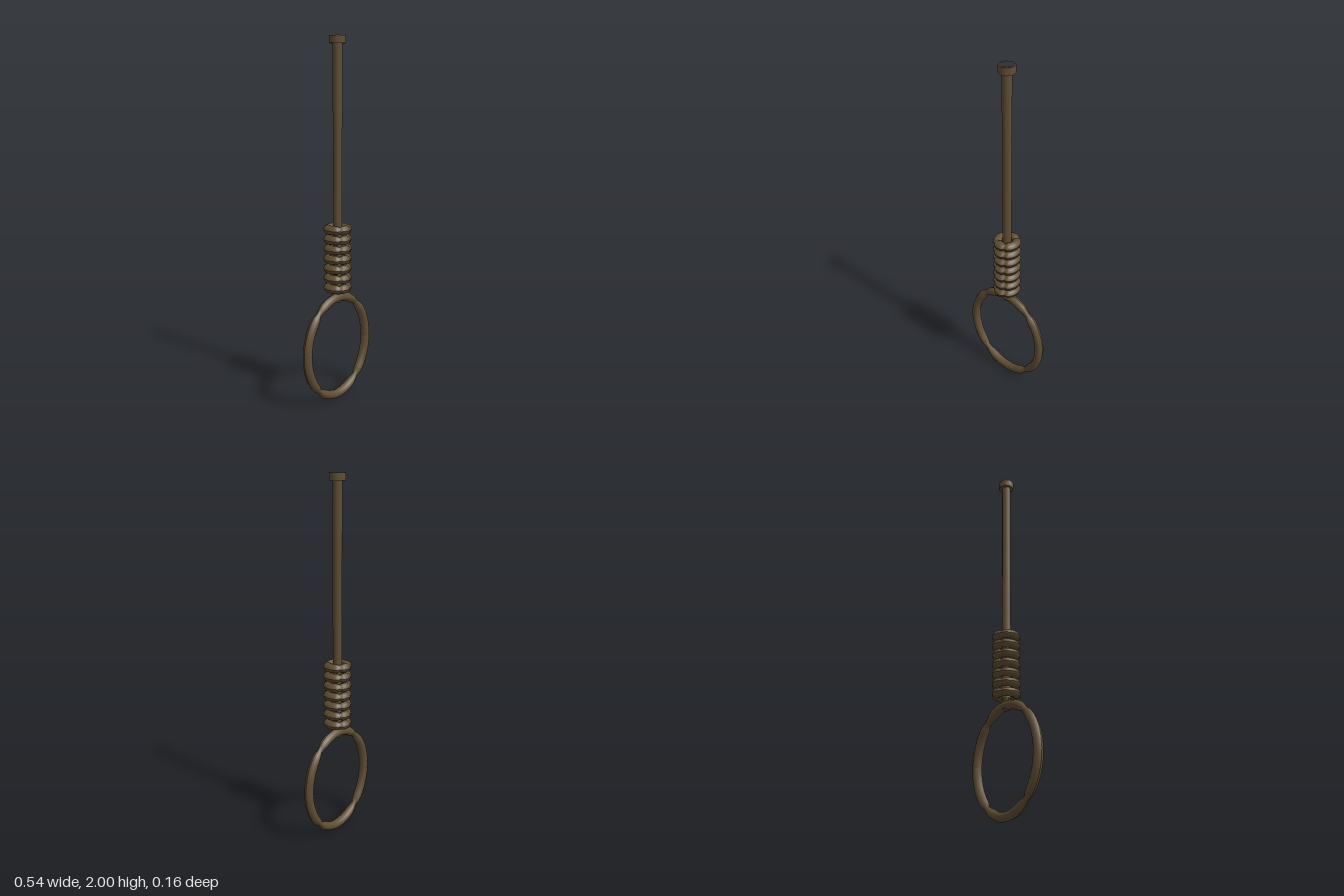
import * as THREE from 'three';

const rope = new THREE.MeshStandardMaterial({ color: 0x5f4e34 });
rope.name = 'brown rope';

// Elliptical rope ring in the XY plane that narrows at the given angles (degrees)
function ropeRing(rx, ry, tube, pinches, squeeze, width, segments) {
  const sides = 8;
  const geo = new THREE.TorusGeometry(1, 0.1, sides, segments);
  const pos = geo.attributes.position;
  for (let j = 0, k = 0; j <= sides; j++) {
    for (let i = 0; i <= segments; i++, k++) {
      const u = (i / segments) * Math.PI * 2;
      const v = (j / sides) * Math.PI * 2;
      let r = tube;
      for (const deg of pinches) {
        const a = THREE.MathUtils.degToRad(deg);
        const d = Math.atan2(Math.sin(u - a), Math.cos(u - a)) / width;
        r *= 1 - squeeze * Math.exp(-d * d);
      }
      // outward direction of the ellipse
      const n = new THREE.Vector2(Math.cos(u) * ry, Math.sin(u) * rx).normalize();
      const out = r * Math.cos(v);
      pos.setXYZ(k, rx * Math.cos(u) + n.x * out, ry * Math.sin(u) + n.y * out, r * Math.sin(v));
    }
  }
  geo.computeVertexNormals();
  return geo;
}

export function createModel() {
  const model = new THREE.Group();
  model.name = 'ropeModel';
  const add = (name, geo, y) => {
    const mesh = new THREE.Mesh(geo, rope);
    mesh.name = name;
    mesh.position.y = y;
    model.add(mesh);
    return mesh;
  };

  // Straight hanging rope, running down through the coils
  add('straightRope', new THREE.CylinderGeometry(0.025, 0.025, 1.35, 8), 1.305);

  // Hollow collar at the top: underside and outer wall
  const collar = [[0.025, 1.96], [0.043, 1.96], [0.043, 1.96], [0.043, 2], [0.043, 2], [0.036, 2]];
  add('topCollar', new THREE.LatheGeometry(collar.map(([x, y]) => new THREE.Vector2(x, y)), 8), 0);

  // Stack of seven wrapped coils
  const coilGeo = ropeRing(0.052, 0.053, 0.0255, [57, 123, 237, 303], 0.35, 0.12, 40);
  coilGeo.rotateX(Math.PI / 2);
  for (let i = 0; i < 7; i++) add('coil' + (i + 1), coilGeo, 0.653 + i * 0.0547);

  // Large loop, slightly turned
  const loopGeo = ropeRing(0.246, 0.284, 0.0255, [52, 128, 232, 308], 0.42, 0.1, 64);
  add('loop', loopGeo, 0.31).rotation.y = 0.08;

  // Tapered neck and flared rope end under the coils
  const end = [[0, 0.57], [0.022, 0.57], [0.022, 0.575], [0.008, 0.597], [0.025, 0.635]];
  add('ropeEnd', new THREE.LatheGeometry(end.map(([x, y]) => new THREE.Vector2(x, y)), 8), 0);

  return model;
}
